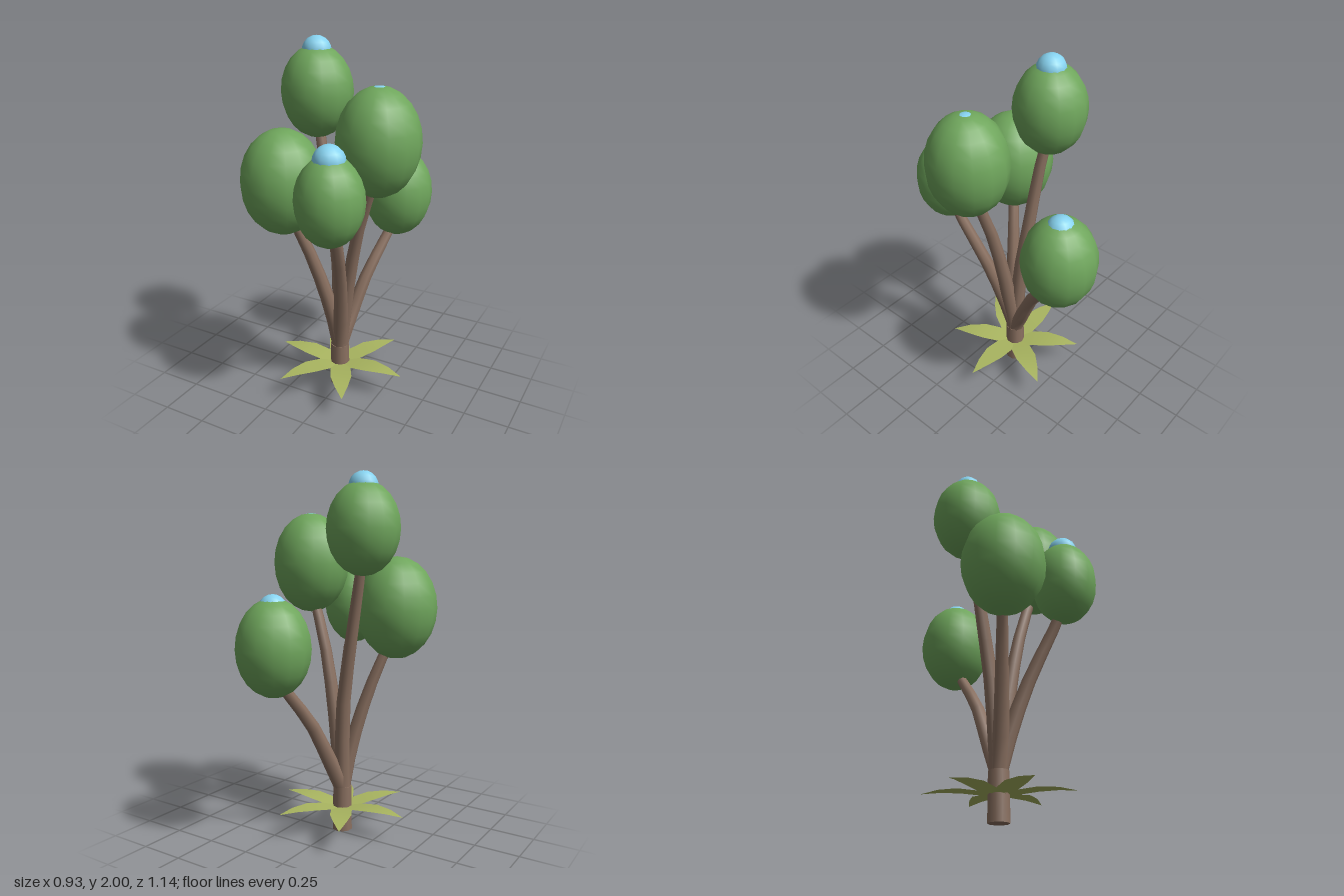
import * as THREE from 'three';

const BASE_X = -0.015, BASE_Z = 0.05;

const material = (color, extra = {}) => new THREE.MeshStandardMaterial({ color, ...extra });

function addMesh(parent, name, geometry, mat, x = 0, y = 0, z = 0) {
  const mesh = new THREE.Mesh(geometry, mat);
  mesh.name = name;
  mesh.position.set(x, y, z);
  parent.add(mesh);
  return mesh;
}

// Tube whose radius shrinks from r0 to r1 along its path
function taperedTube(points, r0, r1, segments = 7, sides = 8) {
  const curve = new THREE.CatmullRomCurve3(points.map(p => new THREE.Vector3(...p)));
  const geo = new THREE.TubeGeometry(curve, segments, 1, sides);
  const pos = geo.attributes.position, v = new THREE.Vector3();
  for (let i = 0; i <= segments; i++) {
    const t = i / segments, c = curve.getPointAt(t);
    const r = THREE.MathUtils.lerp(r0, r1, t);
    for (let j = 0; j <= sides; j++) {
      const k = i * (sides + 1) + j;
      v.fromBufferAttribute(pos, k).sub(c).multiplyScalar(r).add(c);
      pos.setXYZ(k, v.x, v.y, v.z);
    }
  }
  return geo;
}

// Pointed leaf along +x, built from cross-sections [distance, half width, height]
function leafGeometry() {
  const sections = [[0, 0.05, 0.135], [0.1, 0.058, 0.15], [0.2, 0.06, 0.163], [0.3, 0.036, 0.163], [0.395, 0, 0.15]];
  const verts = [], index = [];
  sections.forEach(([d, w, y], i) => {
    verts.push(d, y, -w, d, y, w);
    if (i === 0) return;
    const a = (i - 1) * 2, b = i * 2;
    index.push(a, a + 1, b);
    if (w > 0) index.push(a + 1, b + 1, b);
    else index.push(a + 1, b + 1, b);
  });
  const geo = new THREE.BufferGeometry();
  geo.setAttribute('position', new THREE.Float32BufferAttribute(verts, 3));
  geo.setIndex(index);
  geo.computeVertexNormals();
  return geo;
}

export function createModel() {
  const model = new THREE.Group();
  model.name = 'podPlant';
  const bark = material(0x8b7161);
  const green = material(0x6fa65c);
  const blue = material(0x87d3f0);
  const leafMat = material(0xa9b560, { side: THREE.DoubleSide });

  // Short trunk
  addMesh(model, 'trunk', new THREE.CylinderGeometry(0.054, 0.057, 0.26, 10), bark, BASE_X, 0.13, BASE_Z);

  // Stems with their egg-shaped pods; the cap is [centre height, radius]
  const stems = [
    { pod: [-0.195, 1.71, -0.037], size: [0.195, 0.245], cap: [1.922, 0.078],
      path: [[-0.04, 0.75, 0.02], [-0.09, 1.05, 0.003], [-0.145, 1.35, -0.012]] },
    { pod: [0.248, 1.524, 0.125], size: [0.217, 0.28], cap: [1.727, 0.078],
      path: [[0.015, 0.45, 0.06], [0.07, 0.78, 0.077], [0.14, 1.08, 0.098]] },
    { pod: [-0.243, 1.28, 0.25], size: [0.226, 0.285],
      path: [[-0.035, 0.42, 0.08], [-0.095, 0.7, 0.13], [-0.185, 1.0, 0.2]] },
    { pod: [0.123, 1.28, 0.4], size: [0.178, 0.235], cap: [1.483, 0.083],
      path: [[0.015, 0.44, 0.095], [0.065, 0.73, 0.19], [0.12, 1.04, 0.335]] },
    { pod: [0.137, 1.1, -0.375], size: [0.201, 0.26], cap: [1.303, 0.077],
      path: [[0.015, 0.42, -0.035], [0.06, 0.65, -0.145], [0.115, 0.86, -0.3]] },
  ];
  for (const { pod, size: [r, h], cap, path } of stems) {
    const end = [pod[0], pod[1] - h * 0.5, pod[2]];
    const start = [[BASE_X, 0.12, BASE_Z], [BASE_X, 0.24, BASE_Z]];
    addMesh(model, 'stem', taperedTube([...start, ...path, end], 0.05, 0.027), bark);
    addMesh(model, 'pod', new THREE.SphereGeometry(1, 14, 12), green, ...pod).scale.set(r, h, r);
    if (cap) addMesh(model, 'podCap', new THREE.SphereGeometry(cap[1], 12, 10), blue, pod[0], cap[0], pod[2]);
  }

  // Ring of six leaves near the ground
  const leaves = new THREE.Group();
  leaves.name = 'leafRing';
  leaves.position.set(BASE_X, 0, BASE_Z);
  const leaf = leafGeometry();
  for (let i = 0; i < 6; i++) {
    addMesh(leaves, 'leaf', leaf, leafMat).rotation.y = i * Math.PI / 3;
  }
  model.add(leaves);
  return model;
}
